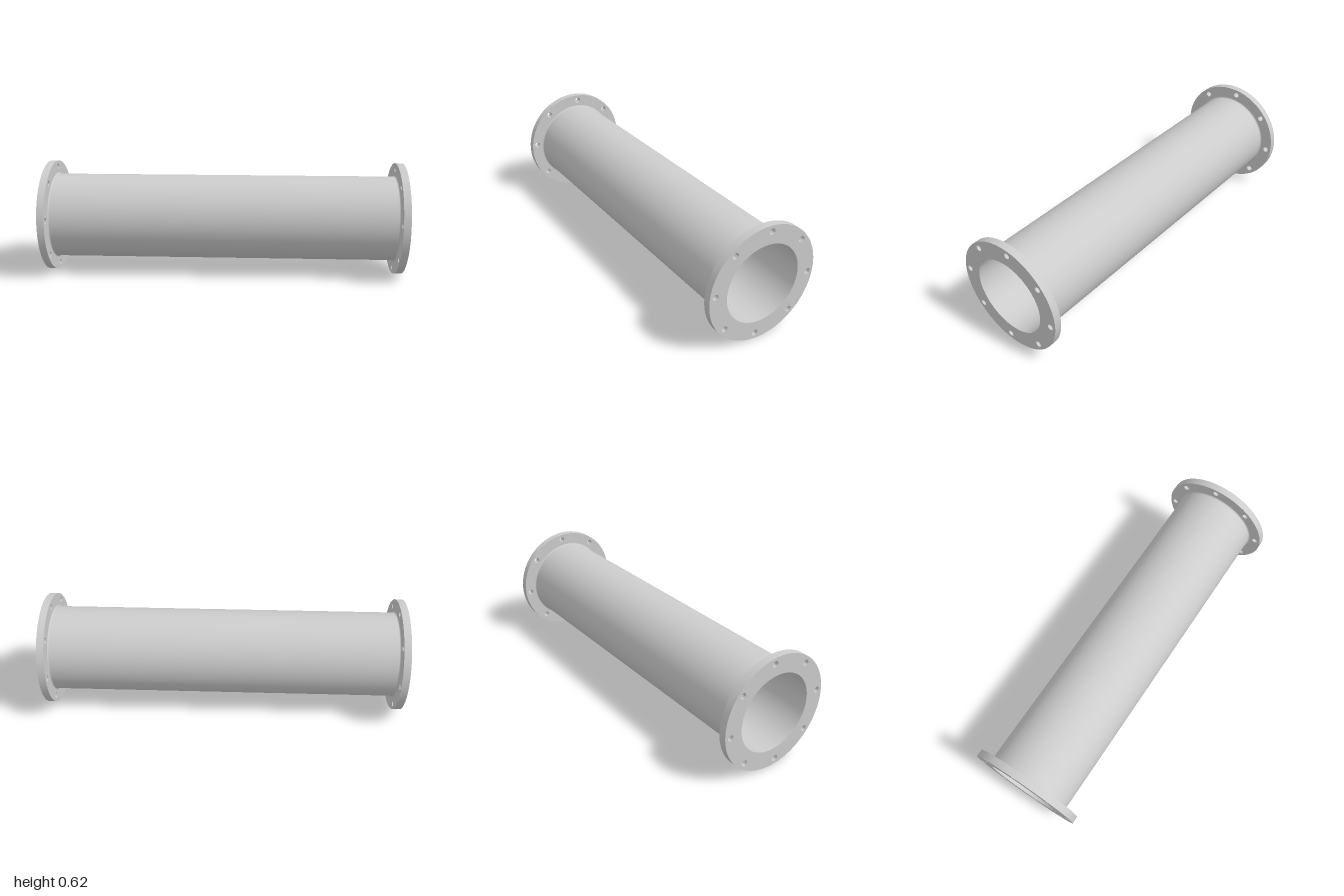
import * as THREE from 'three';
import { toCreasedNormals } from 'three/addons/utils/BufferGeometryUtils.js';

const AXIS_Y = 0.3125;       // height of the pipe axis
const FLANGE_R = 0.3125, FLANGE_T = 0.04;
const PIPE_R = 0.237, BORE_R = 0.213;
const BOLT_CIRCLE = 0.28, BOLT_R = 0.0165, BOLTS = 8, BOLT_START = 0.098;
const FILLET = 0.008;

const material = new THREE.MeshStandardMaterial({ color: 0xcccccc });

function addMesh(parent, name, geometry) {
  const mesh = new THREE.Mesh(geometry, material);
  mesh.name = name;
  parent.add(mesh);
  return mesh;
}

// Ring plate with bolt holes, extruded along the pipe axis
function flangeGeometry() {
  const shape = new THREE.Shape().absarc(0, 0, FLANGE_R, 0, Math.PI * 2);
  shape.holes.push(new THREE.Path().absarc(0, 0, BORE_R, 0, Math.PI * 2, true));
  for (let i = 0; i < BOLTS; i++) {
    const a = BOLT_START + (i / BOLTS) * Math.PI * 2;
    const x = -Math.cos(a) * BOLT_CIRCLE, y = Math.sin(a) * BOLT_CIRCLE;
    shape.holes.push(new THREE.Path().absarc(x, y, BOLT_R, 0, Math.PI * 2, true));
  }
  const geometry = new THREE.ExtrudeGeometry(shape, { depth: FLANGE_T, bevelEnabled: false, curveSegments: 48 });
  geometry.rotateY(Math.PI / 2);
  return toCreasedNormals(geometry, 0.6);
}

// Revolve a profile of (radius, position along the axis) around x
function revolve(points) {
  return new THREE.LatheGeometry(points.map(([r, t]) => new THREE.Vector2(r, t)), 96).rotateZ(-Math.PI / 2);
}

export function createModel() {
  const model = new THREE.Group();
  model.name = 'flangedPipe';
  const body = new THREE.Group();
  body.name = 'pipe';
  body.position.y = AXIS_Y;
  model.add(body);

  // Outer wall, with a small weld fillet against each flange
  const end = 1 - FLANGE_T;
  const fillet = [];
  for (let i = 0; i <= 4; i++) {
    const a = (i / 4) * Math.PI / 2;
    fillet.push([PIPE_R + FILLET * (1 - Math.cos(a)), end - FILLET * (1 - Math.sin(a))]);
  }
  const lower = fillet.map(([r, t]) => [r, -t]).reverse();
  addMesh(body, 'outerWall', revolve([...lower, ...fillet]));

  // Bore, facing inward
  addMesh(body, 'boreWall', revolve([[BORE_R, end], [BORE_R, -end]]));

  // One flange at each end
  const flange = flangeGeometry();
  addMesh(body, 'leftFlange', flange).position.x = end;
  addMesh(body, 'rightFlange', flange).position.x = -1;

  return model;
}
